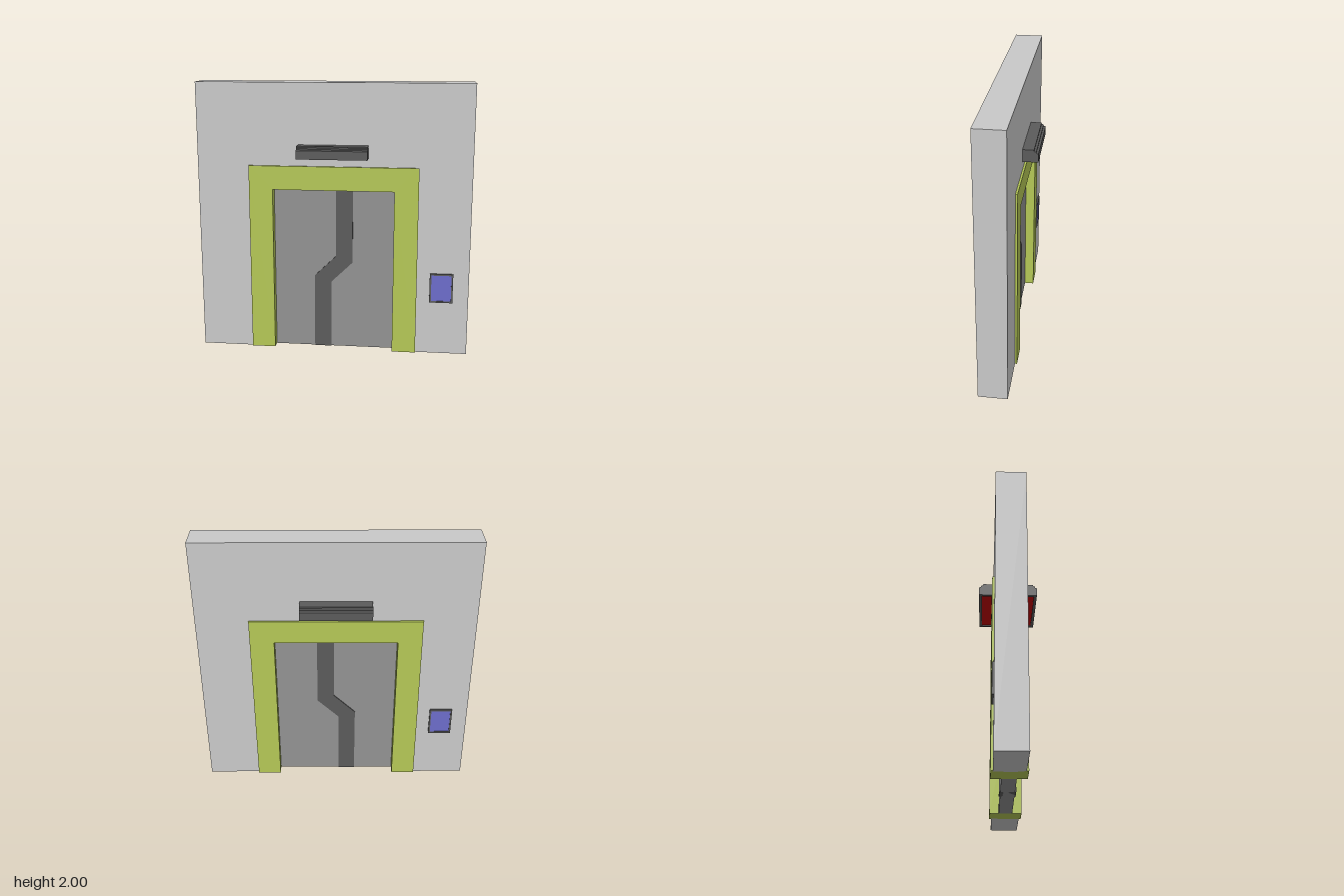
import * as THREE from 'three';

const mat = (name, color) => {
  const m = new THREE.MeshStandardMaterial({ color });
  m.name = name;
  return m;
};

export function createModel() {
  const wallGrey = mat('wall grey', 0xc9c9c9);
  const frameLime = mat('frame lime', 0xb4c756);
  const doorGrey = mat('door grey', 0x929292);
  const darkGrey = mat('dark grey', 0x5b5b5b);
  const screenBlue = mat('screen blue', 0x6c6cca);
  const lampRed = mat('lamp red', 0xc80000);

  const model = new THREE.Group();
  model.name = 'doorway';

  const shapeOf = (pts) => new THREE.Shape(pts.map(([x, y]) => new THREE.Vector2(x, y)));
  const extrude = (shape, depth) => new THREE.ExtrudeGeometry(shape, { depth, bevelEnabled: false });
  const add = (parent, name, geometry, material, x = 0, y = 0, z = 0) => {
    const mesh = new THREE.Mesh(geometry, material);
    mesh.name = name;
    mesh.position.set(x, y, z);
    parent.add(mesh);
    return mesh;
  };

  // Upside-down U standing on the ground, for the wall and the door frame
  const arch = (w, h, iw, ih) => shapeOf([
    [-w, 0], [-iw, 0], [-iw, ih], [iw, ih], [iw, 0], [w, 0], [w, h], [-w, h],
  ]);
  // Rectangular rim centred on the origin
  const rim = (w, h, border) => {
    const rect = (a, b) => [[-a, -b], [a, -b], [a, b], [-a, b]];
    const shape = shapeOf(rect(w / 2, h / 2));
    shape.holes.push(shapeOf(rect(w / 2 - border, h / 2 - border)));
    return shape;
  };

  add(model, 'wall', extrude(arch(1, 2, 0.6, 1.38), 0.21), wallGrey, 0, 0, -0.105);
  add(model, 'doorFrame', extrude(arch(0.62, 1.4, 0.445, 1.225), 0.24), frameLime, 0, 0, -0.12);

  // Recessed door with a stepped seam band showing on both sides
  add(model, 'door', new THREE.BoxGeometry(0.89, 1.225, 0.1), doorGrey, 0, 0.6125, 0);
  const seam = shapeOf([
    [-0.145, 0], [-0.02, 0], [-0.02, 0.515], [0.14, 0.67],
    [0.14, 1.225], [0.015, 1.225], [0.015, 0.715], [-0.145, 0.56],
  ]);
  add(model, 'doorSeam', extrude(seam, 0.116), darkGrey, 0, 0, -0.058);

  // Lamp and control panel, repeated on the back by a half turn
  const lampProfile = shapeOf([
    [0.1, 1.477], [0.215, 1.477], [0.215, 1.527], [0.2, 1.533],
    [0.2, 1.541], [0.185, 1.547], [0.185, 1.556], [0.1, 1.556],
  ]);
  for (const [side, turn] of [['front', 0], ['back', Math.PI]]) {
    const fittings = new THREE.Group();
    fittings.name = side + 'Fittings';
    fittings.rotation.y = turn;
    model.add(fittings);

    // Lamp housing with a red light sunk in its underside
    const housing = extrude(lampProfile, 0.51);
    housing.rotateY(-Math.PI / 2);
    add(fittings, 'lampHousing', housing, darkGrey, 0.255).geometry.computeVertexNormals();
    const lampRim = extrude(rim(0.51, 0.115, 0.022), 0.012);
    lampRim.rotateX(Math.PI / 2);
    add(fittings, 'lampRim', lampRim, darkGrey, 0, 1.477, 0.1575);
    add(fittings, 'lampLight', new THREE.BoxGeometry(0.466, 0.006, 0.071), lampRed, 0, 1.474, 0.1575);

    // Control panel with a screen set into its rim
    add(fittings, 'panelRim', extrude(rim(0.17, 0.22, 0.012), 0.014), darkGrey, 0.8, 0.51, 0.104);
    add(fittings, 'panelScreen', new THREE.BoxGeometry(0.146, 0.196, 0.009), screenBlue, 0.8, 0.51, 0.1085);
  }

  // Housing was extruded toward -x, so it already spans both sides evenly
  return model;
}
